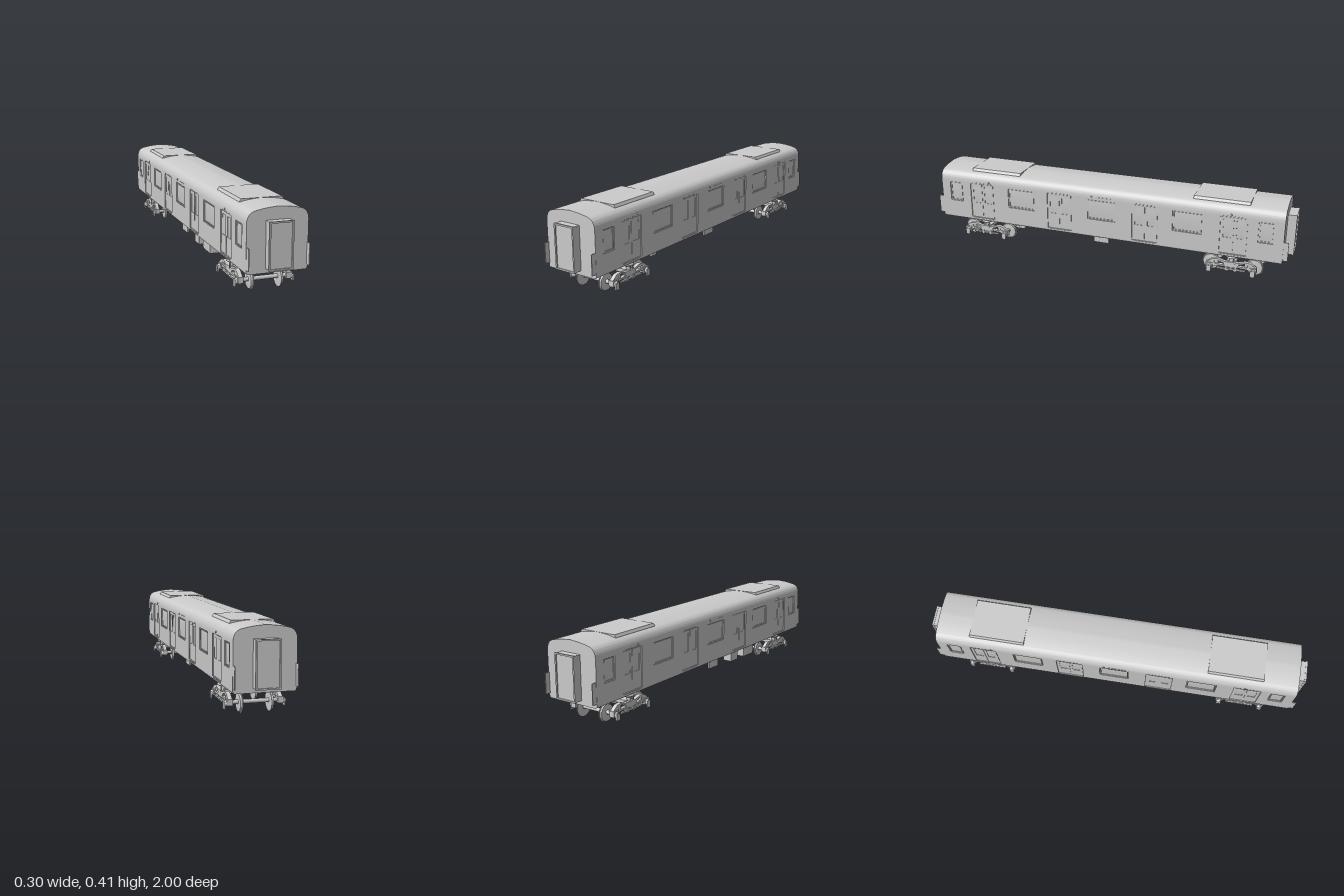
import * as THREE from 'three';
import { toCreasedNormals } from 'three/addons/utils/BufferGeometryUtils.js';

const grey = new THREE.MeshStandardMaterial({ color: 0xcccccc });

function add(parent, name, geometry, x = 0, y = 0, z = 0) {
  const mesh = new THREE.Mesh(geometry, grey);
  mesh.name = name;
  mesh.position.set(x, y, z);
  parent.add(mesh);
  return mesh;
}

// Box given by its limits on each axis
function box(parent, name, x0, x1, y0, y1, z0, z1) {
  return add(parent, name, new THREE.BoxGeometry(x1 - x0, y1 - y0, z1 - z0),
    (x0 + x1) / 2, (y0 + y1) / 2, (z0 + z1) / 2);
}

const polygon = (pts) => new THREE.Shape(pts.map(([x, y]) => new THREE.Vector2(x, y)));
const rect = (x0, x1, y0, y1) => polygon([[x0, y0], [x1, y0], [x1, y1], [x0, y1]]);

function extrude(shape, depth) {
  return new THREE.ExtrudeGeometry(shape, { depth, bevelEnabled: false, curveSegments: 8 });
}

// Sheet drawn in the z-y plane, starting at x0 and growing outwards
function sideSheet(parent, name, shape, x0, thickness) {
  return add(parent, name, extrude(shape, thickness).rotateY(Math.PI / 2), x0);
}

// Cylinder lying across the vehicle
function crossCylinder(parent, name, r0, r1, x0, x1, y, z, sides = 24) {
  const g = new THREE.CylinderGeometry(r1, r0, x1 - x0, sides).rotateZ(-Math.PI / 2);
  return add(parent, name, g, (x0 + x1) / 2, y, z);
}

const END = 0.955;
const DOORS = [-0.705, -0.24, 0.24, 0.705];
const WINDOWS = [[-0.865, 0.075], [-0.466, 0.155], [0, 0.155], [0.466, 0.155], [0.865, 0.075]];

// Body core with arched roof; the flat sides are set back for the outer skin
function buildBody() {
  const roof = new THREE.CatmullRomCurve3([
    [0.145, 0.345], [0.142, 0.364], [0.132, 0.383], [0.117, 0.394], [0.1, 0.399], [0.055, 0.407], [0, 0.412],
  ].map(([x, y]) => new THREE.Vector3(x, y, 0))).getPoints(24).map((p) => [p.x, p.y]);
  const half = [[0.136, 0.118], [0.143, 0.122], [0.145, 0.13], [0.14, 0.13], [0.14, 0.345], ...roof];
  const mirrored = half.slice(0, -1).reverse().map(([x, y]) => [-x, y]);
  const g = extrude(polygon([...half, ...mirrored]), END * 2).translate(0, 0, -END);
  return toCreasedNormals(g, 0.4);
}

function buildSide() {
  const side = new THREE.Group();
  side.name = 'bodySide';

  // Outer skin with door and window openings
  const skin = rect(-END, END, 0.13, 0.345);
  for (const z of DOORS) skin.holes.push(rect(z - 0.07, z + 0.07, 0.137, 0.338));
  for (const [z, w] of WINDOWS) skin.holes.push(rect(z - w / 2, z + w / 2, 0.222, 0.332));
  sideSheet(side, 'sideSkin', skin, 0.14, 0.005);

  // Window panes with a raised rim
  for (const [z, w] of WINDOWS) {
    const rim = rect(z - w / 2 + 0.003, z + w / 2 - 0.003, 0.225, 0.329);
    rim.holes.push(rect(z - w / 2 + 0.008, z + w / 2 - 0.008, 0.23, 0.324));
    sideSheet(side, 'windowRim', rim, 0.139, 0.004);
  }

  // Double-leaf doors, each leaf with a glazed opening, sill and top rail
  for (const z of DOORS) {
    for (const s of [-1, 1]) {
      const c = z + s * 0.034;
      const leaf = rect(c - 0.033, c + 0.033, 0.139, 0.336);
      leaf.holes.push(rect(c - 0.02, c + 0.02, 0.225, 0.322));
      sideSheet(side, 'doorLeaf', leaf, 0.139, 0.003);
    }
    box(side, 'doorSill', 0.14, 0.147, 0.13, 0.134, z - 0.06, z + 0.06);
    box(side, 'doorRail', 0.14, 0.146, 0.34, 0.344, z - 0.055, z + 0.055);
  }

  // Indicator lamps and destination panel
  for (const z of [-0.69, 0.055, 0.66]) {
    add(side, 'indicatorLamp', new THREE.SphereGeometry(0.005, 12, 8), 0.144, 0.35, z);
  }
  box(side, 'destinationPanel', 0.14, 0.146, 0.339, 0.35, -0.06, 0.03);

  // Corner guard plates past both ends
  for (const s of [-1, 1]) {
    const z0 = s * 0.95, z1 = s * 0.98;
    box(side, 'cornerPlate', 0.14, 0.144, 0.14, 0.24, Math.min(z0, z1), Math.max(z0, z1));
  }
  return side;
}

// Gangway connection with a raised frame around its doorway
function buildGangway() {
  const g = new THREE.Group();
  g.name = 'gangway';
  box(g, 'gangwayBellows', -0.055, 0.055, 0.14, 0.353, END - 0.005, 0.994);
  const frame = rect(-0.057, 0.057, 0.138, 0.355);
  frame.holes.push(rect(-0.05, 0.05, 0.145, 0.348));
  add(g, 'gangwayFrame', extrude(frame, 0.01), 0, 0, 0.99);
  return g;
}

// Low roof pod: flat top with sloping edges
function buildRoofPod() {
  const g = extrude(polygon([[-0.108, 0.39], [0.108, 0.39], [0.107, 0.4], [0.1, 0.412], [-0.1, 0.412], [-0.107, 0.4]]), 0.29);
  return g.translate(0, 0, -0.145);
}

function buildBogie() {
  const bogie = new THREE.Group();
  bogie.name = 'bogie';
  const wheelProfile = [[0.008, -0.006], [0.047, -0.006], [0.047, -0.003], [0.043, -0.002], [0.041, 0.006], [0.008, 0.006]]
    .map(([r, y]) => new THREE.Vector2(r, y));

  // Wheelsets
  for (const z of [-0.113, 0.113]) {
    crossCylinder(bogie, 'axle', 0.01, 0.01, -0.135, 0.135, 0.05, z, 16);
    for (const s of [-1, 1]) {
      const tyre = new THREE.LatheGeometry(wheelProfile, 32);
      const wheel = add(bogie, 'wheel', toCreasedNormals(tyre.toNonIndexed(), 0.5), s * 0.072, 0.047, z);
      wheel.rotation.z = -s * Math.PI / 2;
    }
  }
  box(bogie, 'bolster', -0.115, 0.115, 0.07, 0.088, -0.025, 0.025);

  for (const turn of [0, Math.PI]) {
    const half = new THREE.Group();
    half.name = 'bogieSide';
    half.rotation.y = turn;
    bogie.add(half);

    // Side frame: bowed beam reaching out over the axle boxes, with two openings
    const frame = polygon([
      [-0.13, 0.04], [-0.1, 0.04], [-0.085, 0.052], [-0.03, 0.055], [0, 0.05], [0.03, 0.055], [0.085, 0.052],
      [0.1, 0.04], [0.13, 0.04], [0.13, 0.064], [0.1, 0.088], [0.07, 0.092], [0.035, 0.082], [-0.035, 0.082],
      [-0.07, 0.092], [-0.1, 0.088], [-0.13, 0.064],
    ]);
    for (const s of [-1, 1]) {
      frame.holes.push(polygon([[s * 0.035, 0.063], [s * 0.08, 0.062], [s * 0.09, 0.074], [s * 0.07, 0.082], [s * 0.04, 0.073]]));
    }
    sideSheet(half, 'sideFrame', frame, 0.108, 0.02);

    // Axle boxes with end caps, springs and hangers
    for (const z of [-0.113, 0.113]) {
      box(half, 'axleBox', 0.105, 0.133, 0.037, 0.066, z - 0.018, z + 0.018);
      crossCylinder(half, 'axleCap', 0.016, 0.012, 0.13, 0.143, 0.047, z, 12);
      box(half, 'axleGuard', 0.138, 0.145, 0.022, 0.055, z - 0.012, z + 0.012);
      add(half, 'primarySpring', new THREE.CylinderGeometry(0.01, 0.01, 0.025, 16), 0.117, 0.077, z * 0.68);
    }
    // Suspension link and brake beam low on the frame
    box(half, 'tieBar', 0.124, 0.134, 0.04, 0.048, -0.075, 0.075);
    box(half, 'brakeHanger', 0.108, 0.13, 0.032, 0.055, -0.03, -0.015);
    box(half, 'brakeHanger', 0.108, 0.13, 0.032, 0.055, 0.015, 0.03);

    // Air spring under the floor
    const spring = [[0, 0.104], [0.024, 0.104], [0.03, 0.108], [0.03, 0.114], [0.024, 0.118], [0, 0.118]]
      .map(([r, y]) => new THREE.Vector2(r, y));
    add(half, 'airSpring', new THREE.LatheGeometry(spring, 24), 0.11);
    add(half, 'springPost', new THREE.CylinderGeometry(0.011, 0.011, 0.03, 16), 0.114, 0.092, 0);
    box(half, 'damper', 0.126, 0.13, 0.075, 0.11, -0.02, -0.012);
  }
  return bogie;
}

export function createModel() {
  const model = new THREE.Group();
  model.name = 'railwayCarriage';
  add(model, 'bodyShell', buildBody());

  // Sides, gangways, roof pods and bogies repeat at both ends
  for (const turn of [0, Math.PI]) {
    for (const part of [buildSide(), buildGangway()]) {
      part.rotation.y = turn;
      model.add(part);
    }
  }
  for (const s of [-1, 1]) {
    add(model, 'roofPod', buildRoofPod(), 0, 0, s * 0.63);
    const bogie = buildBogie();
    bogie.position.z = s * 0.7;
    model.add(bogie);
  }

  // Underfloor equipment
  const FLOOR = 0.12;
  box(model, 'largeEquipmentCase', -0.125, -0.07, 0.065, FLOOR, 0.325, 0.43);
  box(model, 'equipmentCase', -0.125, -0.075, 0.066, FLOOR, 0.19, 0.26);
  box(model, 'rightPanel', -0.125, -0.115, 0.076, FLOOR, -0.03, 0.055);
  box(model, 'leftPanel', 0.1, 0.11, 0.076, FLOOR, -0.03, 0.055);
  box(model, 'smallCase', 0.07, 0.105, 0.088, FLOOR, 0.47, 0.505);
  box(model, 'pipeTray', -0.11, -0.095, 0.105, FLOOR, 0.43, 0.535);
  return model;
}
